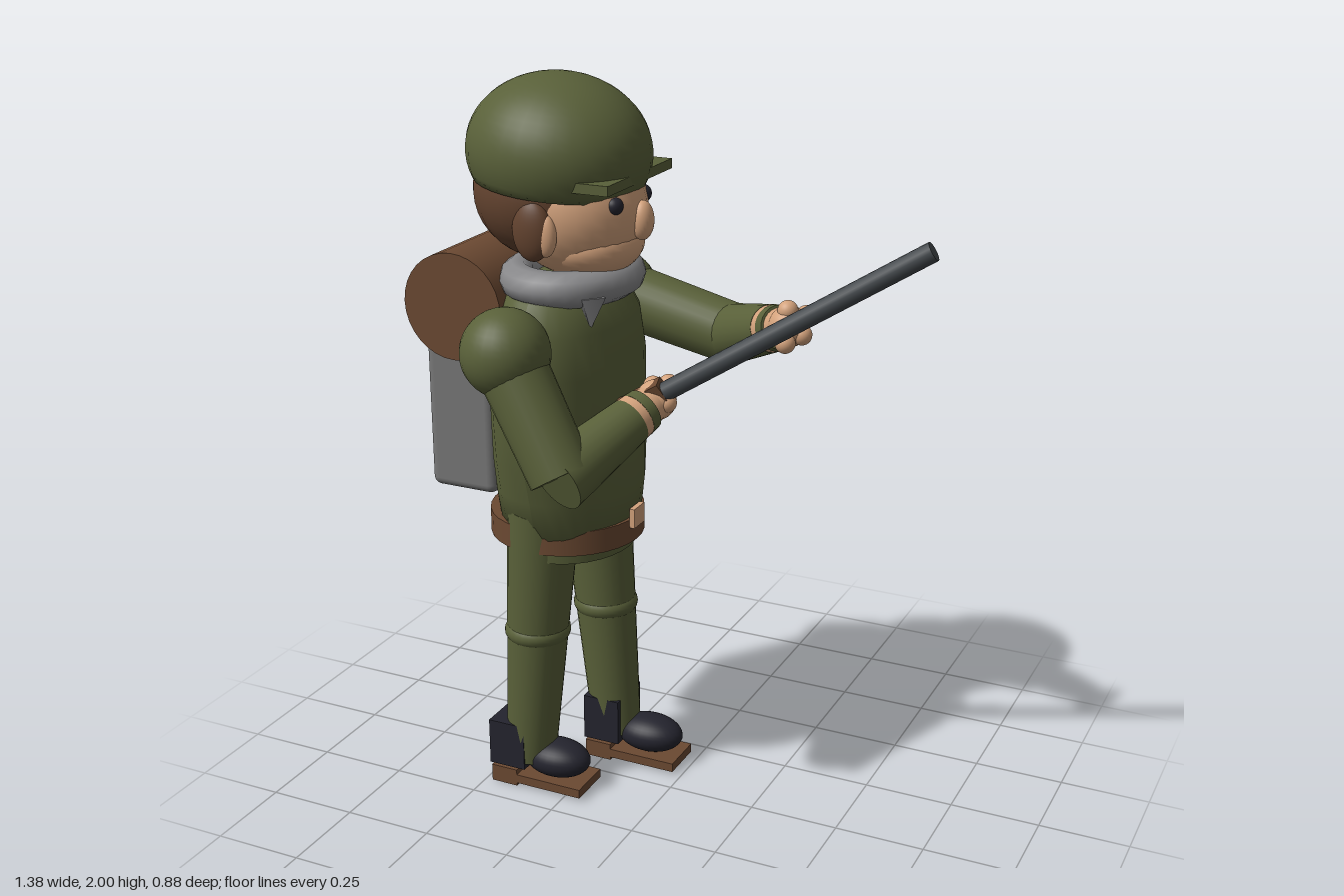
import * as THREE from 'three';
import { RoundedBoxGeometry } from 'three/addons/geometries/RoundedBoxGeometry.js';

const V = (x, y, z) => new THREE.Vector3(x, y, z);
const mat = (name, color) => {
  const m = new THREE.MeshStandardMaterial({ color });
  m.name = name;
  return m;
};

export function createModel() {
  const root = new THREE.Group();
  root.name = 'soldierFigure';

  const olive = mat('olive cloth', 0x596039);
  const brown = mat('leather brown', 0x6b4932);
  const hairBrown = mat('hair brown', 0x63432f);
  const skin = mat('skin', 0xd3a27c);
  const packGrey = mat('pack grey', 0x777777);
  const scarfGrey = mat('scarf grey', 0x88888a);
  const dark = mat('boot black', 0x24242e);
  const steel = mat('gun steel', 0x42474b);

  const add = (name, geo, m, p = V(0, 0, 0)) => {
    const mesh = new THREE.Mesh(geo, m);
    mesh.name = name;
    mesh.position.copy(p);
    root.add(mesh);
    return mesh;
  };
  const ball = (name, m, p, rx, ry = rx, rz = rx) =>
    add(name, new THREE.SphereGeometry(1, 28, 20).scale(rx, ry, rz), m, p);
  const box = (name, m, p, w, h, d) => add(name, new THREE.BoxGeometry(w, h, d), m, p);
  // Tapered cylinder running from a to b
  const rod = (name, m, a, b, ra, rb = ra, sides = 24) => {
    const dir = b.clone().sub(a);
    const mesh = add(name, new THREE.CylinderGeometry(rb, ra, dir.length(), sides), m,
      a.clone().add(b).multiplyScalar(0.5));
    mesh.quaternion.setFromUnitVectors(V(0, 1, 0), dir.normalize());
    return mesh;
  };
  const lathe = (pts) => new THREE.LatheGeometry(pts.map(([r, y]) => new THREE.Vector2(r, y)), 32);

  // Head
  ball('face', skin, V(-0.265, 1.66, 0), 0.185, 0.18, 0.18);
  ball('jaw', skin, V(-0.215, 1.57, 0), 0.125, 0.085, 0.145);
  ball('hair', hairBrown, V(-0.345, 1.70, 0), 0.2, 0.185, 0.2);
  ball('nose', skin, V(-0.08, 1.64, -0.003), 0.03, 0.052, 0.033);
  for (const s of [1, -1]) {
    ball('eye', dark, V(-0.118, 1.69, s * 0.082), 0.024);
    ball('ear', hairBrown, V(-0.3, 1.63, s * 0.18), 0.055, 0.08, 0.032);
    ball('earLobe', skin, V(-0.262, 1.62, s * 0.18), 0.03, 0.055, 0.022);
  }

  // Helmet: dome closed underneath, tipped slightly forward, with a flat brim
  const dome = [[0, -0.085]];
  for (let i = 0; i <= 18; i++) {
    const t = Math.PI * 0.64 * (1 - i / 18);
    dome.push([Math.sin(t) * 0.245, Math.cos(t) * 0.2]);
  }
  const helmet = add('helmet', lathe(dome).scale(1, 1, 0.95), olive, V(-0.317, 1.8, -0.003));
  helmet.rotation.z = -0.09;
  box('helmetBrim', olive, V(-0.155, 1.75, -0.005), 0.14, 0.026, 0.37);

  // Scarf and its knot
  const scarf = add('scarf', new THREE.TorusGeometry(0.15, 0.05, 10, 28).rotateX(Math.PI / 2), scarfGrey, V(-0.285, 1.475, -0.005));
  scarf.scale.set(0.93, 0.95, 1.1);
  const knot = add('scarfKnot', new THREE.ConeGeometry(0.045, 0.09, 4), scarfGrey, V(-0.17, 1.415, 0.12));
  knot.rotation.x = Math.PI;

  // Jacket, hem and belt
  const jacket = lathe([[0, 0.77], [0.205, 0.77], [0.235, 0.9], [0.262, 1.0], [0.283, 1.12],
    [0.285, 1.25], [0.265, 1.36], [0.215, 1.44], [0.14, 1.48], [0, 1.48]]);
  const pos = jacket.attributes.position;
  for (let i = 0; i < pos.count; i++) {
    // flatten front to back towards the shoulders
    const k = THREE.MathUtils.lerp(0.9, 0.64, THREE.MathUtils.smoothstep(pos.getY(i), 0.77, 1.15));
    pos.setX(i, pos.getX(i) * k);
  }
  jacket.computeVertexNormals();
  add('jacket', jacket, olive, V(-0.305, 0, -0.01));
  const hem = add('jacketHem', new THREE.CylinderGeometry(0.205, 0.2, 0.1, 32), olive, V(-0.305, 0.77, -0.01));
  hem.scale.x = 0.87;
  add('belt', new THREE.CylinderGeometry(0.212, 0.212, 0.068, 32), brown, V(-0.318, 0.782, -0.01));
  box('beltBuckle', skin, V(-0.103, 0.82, -0.005), 0.015, 0.055, 0.062);

  // Legs in stride: one set back, the other forward
  const leg = (z, hipX, ankleX, footX) => {
    const hip = V(hipX, 0.85, z), ankle = V(ankleX, 0.08, z);
    rod('trouserLeg', olive, hip, ankle, 0.1, 0.07);
    const knee = hip.clone().lerp(ankle, 0.48);
    ball('kneePatch', olive, knee, 0.092, 0.05, 0.092);
    box('bootShaft', dark, V(footX + 0.055, 0.13, z), 0.11, 0.135, 0.145);
    ball('bootToe', dark, V(footX + 0.178, 0.085, z), 0.1, 0.053, 0.069);
    box('bootSole', brown, V(footX + 0.14, 0.022, z), 0.28, 0.026, 0.13);
    box('bootHeel', brown, V(footX + 0.04, 0.025, z), 0.08, 0.05, 0.13);
  };
  leg(0.112, -0.325, -0.385, -0.48);
  leg(-0.13, -0.295, -0.235, -0.305);

  // Arms: shoulder, upper arm, forearm with banded cuff, hand with knuckles
  const arm = (shoulder, elbow, hand, knuckles) => {
    ball('shoulder', olive, shoulder, 0.117);
    rod('upperArm', olive, shoulder, elbow, 0.092, 0.085);
    const dir = hand.clone().sub(elbow).normalize();
    const start = elbow.clone().addScaledVector(dir, -0.02);
    const at = (d) => hand.clone().addScaledVector(dir, d);
    rod('forearm', olive, start, at(-0.1), 0.085, 0.064);
    rod('cuffBand', skin, at(-0.1), at(-0.075), 0.063, 0.061);
    rod('cuff', olive, at(-0.075), at(-0.045), 0.062, 0.059);
    rod('wrist', skin, at(-0.045), at(-0.02), 0.052, 0.05);
    ball('hand', skin, hand, 0.054);
    for (const k of knuckles) ball('knuckle', skin, hand.clone().add(V(...k)), 0.027);
  };
  arm(V(-0.318, 1.34, 0.302), V(-0.14, 1.05, 0.345), V(-0.025, 1.175, 0.035),
    [[0.02, 0.035, -0.035], [-0.03, 0.02, -0.045], [0.035, 0, 0.01]]);
  arm(V(-0.322, 1.34, -0.33), V(0.03, 1.26, -0.335), V(0.285, 1.375, -0.11),
    [[0.035, 0.025, -0.03], [0.04, -0.015, 0.01], [0.01, -0.03, 0.05], [0, 0.045, 0.01]]);

  // Rifle
  const breech = V(-0.01, 1.195, 0.048), muzzle = V(0.672, 1.625, -0.073);
  rod('rifleBarrel', steel, breech, muzzle, 0.026, 0.026, 16);
  const back = breech.clone().sub(muzzle).normalize();
  const stock = box('rifleStock', brown, breech.clone().addScaledVector(back, 0.08), 0.05, 0.2, 0.075);
  stock.up.set(0, 1, 0);
  stock.quaternion.setFromUnitVectors(V(0, 1, 0), back);
  stock.scale.set(1.4, 1, 0.7);

  // Backpack with bedroll
  add('backpack', new RoundedBoxGeometry(0.2, 0.5, 0.34, 3, 0.025), packGrey, V(-0.55, 1.125, -0.012));
  rod('bedroll', brown, V(-0.545, 1.4, -0.21), V(-0.545, 1.4, 0.183), 0.145, 0.145, 32);

  return root;
}
